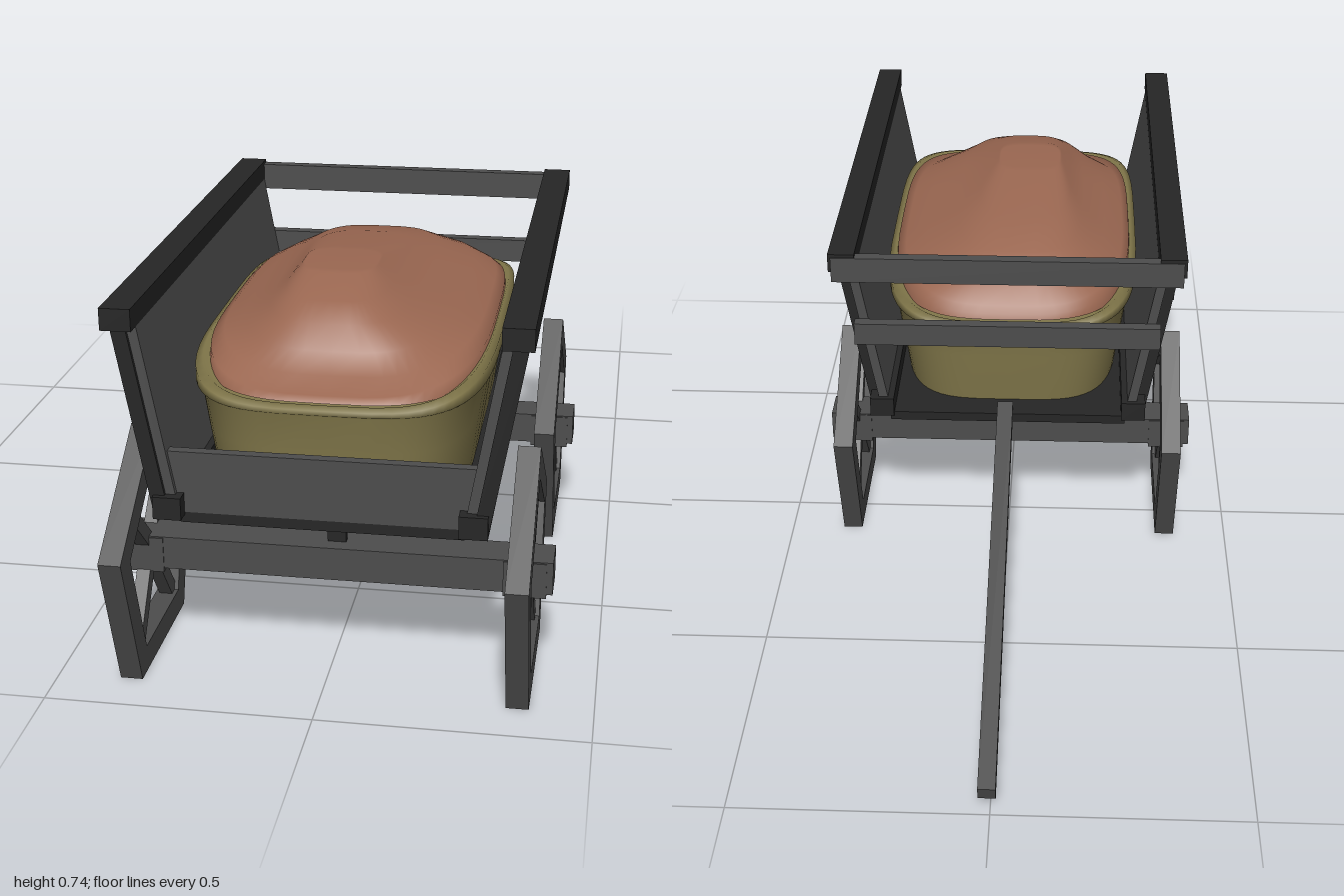
import * as THREE from 'three';

const mat = (name, color, side = THREE.FrontSide) => {
  const m = new THREE.MeshStandardMaterial({ color, side });
  m.name = name;
  return m;
};

// Closed stack of rounded-rectangle rings: [y, cx, zBack, zFront, halfWidth, endDip]
function loft(rings, power, segs = 64) {
  const pos = [], idx = [];
  const bend = (v) => Math.sign(v) * Math.pow(Math.abs(v), 2 / power);
  for (const [y, cx, z0, z1, hx, dip] of rings) {
    for (let i = 0; i < segs; i++) {
      const a = (i / segs) * Math.PI * 2;
      const s = bend(Math.sin(a)), c = bend(Math.cos(a));
      pos.push(cx + hx * c, y - dip * s ** 4, (z0 + z1) / 2 + ((z1 - z0) / 2) * s);
    }
  }
  for (let r = 0; r < rings.length - 1; r++) {
    for (let i = 0; i < segs; i++) {
      const a = r * segs + i, b = r * segs + ((i + 1) % segs);
      idx.push(a, a + segs, b, b, a + segs, b + segs);
    }
  }
  // flat top cap
  const top = rings[rings.length - 1], base = (rings.length - 1) * segs, centre = pos.length / 3;
  pos.push(top[1], top[0], (top[2] + top[3]) / 2);
  for (let i = 0; i < segs; i++) idx.push(base + i, centre, base + ((i + 1) % segs));
  const g = new THREE.BufferGeometry();
  g.setAttribute('position', new THREE.Float32BufferAttribute(pos, 3));
  g.setIndex(idx);
  g.computeVertexNormals();
  return g;
}

export function createModel() {
  const model = new THREE.Group();
  model.name = 'loadedCart';
  const grey = mat('greyWood', 0x4d4d4d);
  const dark = mat('darkWood', 0x262626);
  const olive = mat('oliveSack', 0x81774a, THREE.DoubleSide);
  const brown = mat('brownLoad', 0x9a6751, THREE.DoubleSide);

  const add = (name, geo, material, parent = model) => {
    const m = new THREE.Mesh(geo, material);
    m.name = name;
    parent.add(m);
    return m;
  };
  // Box given by its limits
  const box = (name, material, x0, x1, y0, y1, z0, z1, parent = model) => {
    const m = add(name, new THREE.BoxGeometry(x1 - x0, y1 - y0, z1 - z0), material, parent);
    m.position.set((x0 + x1) / 2, (y0 + y1) / 2, (z0 + z1) / 2);
    return m;
  };
  // Prism with an outline in x and y, running from z0 to z1
  const prism = (name, material, pts, z0, z1) => {
    const shape = new THREE.Shape(pts.map(([x, y]) => new THREE.Vector2(x, y)));
    const g = new THREE.ExtrudeGeometry(shape, { depth: z1 - z0, bevelEnabled: false });
    return add(name, g.translate(0, 0, z0), material);
  };

  // Floor and low front board
  box('floor', dark, -0.258, 0.258, 0.322, 0.342, -0.13, 0.89);
  prism('frontBoard', grey, [[-0.258, 0.34], [0.258, 0.34], [0.278, 0.46], [-0.278, 0.46]], 0.87, 0.89);

  // Leaning sides: panel, posts and rails
  const lean = (y) => 0.256 + 0.18 * (y - 0.34);
  for (const s of [-1, 1]) {
    const side = s > 0 ? 'left' : 'right';
    const slab = (name, material, y0, y1, a, b, z0, z1) => prism(side + name, material,
      [[s * (lean(y0) + a), y0], [s * (lean(y0) + b), y0],
        [s * (lean(y1) + b), y1], [s * (lean(y1) + a), y1]], z0, z1);
    slab('Panel', grey, 0.34, 0.715, 0, 0.02, -0.13, 0.9);
    for (const [z0, z1] of [[0.842, 0.907], [0.37, 0.413], [-0.1, -0.059]]) {
      slab('Post', dark, 0.35, 0.71, 0.018, 0.046, z0, z1);
    }
    const xs = (a, b) => (s > 0 ? [a, b] : [-b, -a]);
    box(side + 'TopRail', dark, ...xs(0.32, 0.376), 0.697, 0.738, -0.152, 0.93);
    box(side + 'BottomRail', dark, ...xs(0.25, 0.302), 0.337, 0.38, -0.14, 0.917);
  }

  // Rear crossbars
  box('rearTopBar', grey, -0.37, 0.37, 0.675, 0.731, -0.155, -0.13);
  box('rearMiddleBar', grey, -0.327, 0.327, 0.525, 0.575, -0.155, -0.13);

  // Pull pole
  const a = new THREE.Vector3(0.006, 0.342, -0.1), b = new THREE.Vector3(0.006, 0.048, -0.995);
  const pole = add('pullPole', new THREE.BoxGeometry(0.034, 0.034, a.distanceTo(b)), grey);
  pole.position.copy(a).add(b).multiplyScalar(0.5);
  pole.lookAt(a);

  // Five-sided wheels
  const R = 0.2515, cy = 0.2035, r = 0.19;
  const corners = (rad) => Array.from({ length: 5 }, (_, i) => {
    const t = Math.PI / 2 + (i * Math.PI * 2) / 5;
    return new THREE.Vector2(rad * Math.cos(t), rad * Math.sin(t));
  });
  const rimShape = new THREE.Shape(corners(R));
  rimShape.holes.push(new THREE.Path(corners(r)));
  const rimGeo = new THREE.ExtrudeGeometry(rimShape, { depth: 0.042, bevelEnabled: false });
  rimGeo.translate(0, 0, -0.021).rotateY(Math.PI / 2);

  for (const z of [0.762, 0.055]) {
    const end = z > 0.5 ? 'front' : 'rear';
    box(end + 'Axle', grey, -0.413, 0.413, 0.177, 0.242, z - 0.038, z + 0.038);
    box(end + 'AxlePost', dark, -0.011, 0.024, 0.24, 0.325, z - 0.008, z + 0.008);
    for (const s of [-1, 1]) {
      const wheel = new THREE.Group();
      wheel.name = end + (s > 0 ? 'Left' : 'Right') + 'Wheel';
      wheel.position.set(s * 0.361, cy, z);
      add('rim', rimGeo, grey, wheel);
      box('hub', grey, -0.04, 0.04, -0.034, 0.036, -0.04, 0.04, wheel);
      for (const [deg, len] of [[45, 0.165], [135, 0.165], [234, 0.2], [306, 0.2]]) {
        const g = new THREE.BoxGeometry(0.026, 0.028, len).translate(0, 0, len / 2);
        add('spoke', g, grey, wheel).rotation.x = -THREE.MathUtils.degToRad(deg);
      }
      model.add(wheel);
    }
  }

  // Open sack with a rolled lip
  add('sack', loft([
    [0.343, 0, -0.07, 0.84, 0.245, 0],
    [0.46, 0, -0.085, 0.855, 0.262, 0],
    [0.53, 0, -0.09, 0.86, 0.272, 0],
    [0.545, 0, -0.1, 0.868, 0.284, 0.01],
    [0.575, 0, -0.098, 0.866, 0.284, 0.032],
    [0.583, 0, -0.085, 0.85, 0.272, 0.035],
    [0.56, 0, -0.06, 0.82, 0.25, 0.03],
  ], 4), olive);

  // Heaped load with a small flat top
  add('load', loft([
    [0.55, 0, -0.07, 0.835, 0.272, 0.005],
    [0.588, 0, -0.065, 0.825, 0.268, 0.032],
    [0.601, -0.002, -0.055, 0.765, 0.25, 0.03],
    [0.622, -0.005, -0.03, 0.735, 0.205, 0.015],
    [0.65, -0.015, 0.05, 0.705, 0.145, 0],
    [0.675, -0.025, 0.18, 0.65, 0.105, 0],
    [0.699, -0.032, 0.38, 0.55, 0.075, 0],
    [0.7, -0.032, 0.4, 0.53, 0.071, 0],
  ], 3.4), brown);

  return model;
}
